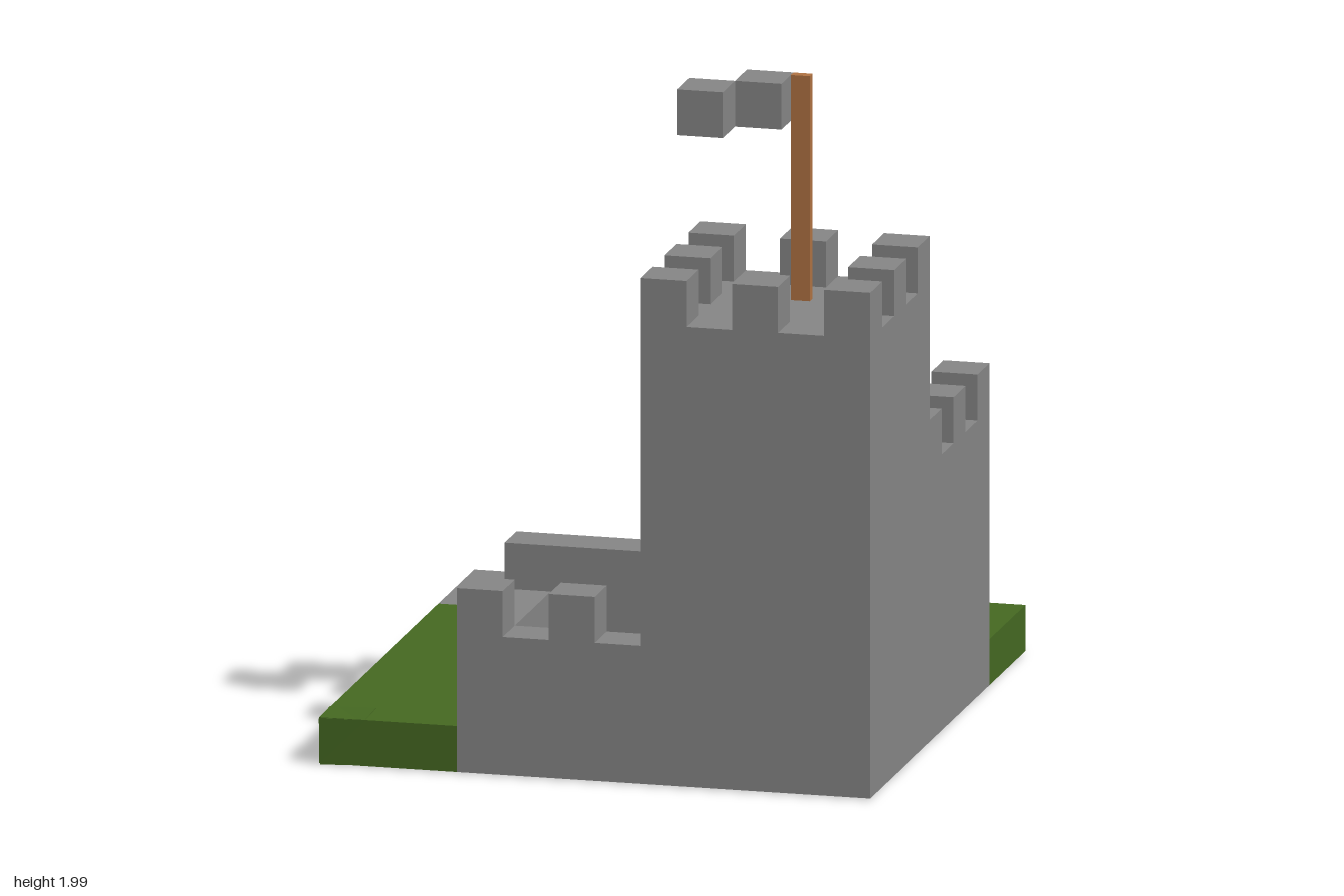
import * as THREE from 'three';

const U = 0.1336; // block size
const X = i => -0.8015 + i * U;
const Y = k => 0.01 + k * U;
const Z = j => -0.87 + j * U;

export function createModel() {
  const model = new THREE.Group();
  model.name = 'castle';
  const mat = (name, color) => Object.assign(new THREE.MeshStandardMaterial({ color }), { name });
  const stone = mat('stone', 0x888888);
  const grass = mat('grass', 0x466a22);
  const wood = mat('wood', 0xb27444);
  const dark = mat('darkFloor', 0x2d2d2d);

  const box = (parent, name, material, x0, x1, y0, y1, z0, z1) => {
    const m = new THREE.Mesh(new THREE.BoxGeometry(x1 - x0, y1 - y0, z1 - z0), material);
    m.position.set((x0 + x1) / 2, (y0 + y1) / 2, (z0 + z1) / 2);
    m.name = name;
    parent.add(m);
    return m;
  };
  // box given in block coordinates
  const blocks = (parent, name, material, i0, i1, k0, k1, j0, j1) =>
    box(parent, name, material, X(i0), X(i1), Y(k0), Y(k1), Z(j0), Z(j1));
  const group = name => {
    const g = new THREE.Group();
    g.name = name;
    model.add(g);
    return g;
  };
  const merlons = (parent, k, cells) => {
    for (const [i, j] of cells) blocks(parent, 'merlon', stone, i, i + 1, k, k + 1, j, j + 1);
  };

  // Ground: stone spans per row (path and castle foundation), grass elsewhere
  const ground = group('ground');
  const rows = [[0, 2], [0, 4], [0, 5], [1, 6, 7, 12], [2, 12], [3, 12], [4, 12], [5, 12]];
  for (let j = 8; j < 13; j++) rows.push([3, 12]);
  rows.forEach((cuts, j) => {
    const edges = [0, ...cuts, 12];
    for (let n = 0; n < edges.length - 1; n++) {
      if (edges[n] === edges[n + 1]) continue;
      const paved = n % 2 === 1;
      blocks(ground, paved ? 'paving' : 'lawn', paved ? stone : grass, edges[n], edges[n + 1], 0, 1, j, j + 1);
    }
  });
  // slightly crooked turf block at the corner
  const turf = blocks(ground, 'turfBlock', grass, 0, 1, 0, 1, 12, 13);
  turf.rotation.set(0.02, 0.02, 0.03);

  // Tall tower
  const keep = group('tallTower');
  blocks(keep, 'tallTowerBody', stone, 7, 12, 1, 10, 8, 13);
  const ring = [];
  for (const a of [0, 2, 4]) for (const b of [0, 2, 4]) if (a !== 2 || b !== 2) ring.push([7 + a, b]);
  merlons(keep, 10, ring.map(([i, b]) => [i, 8 + b]));

  // Low tower, open towards the path with stairs inside
  const low = group('lowTower');
  blocks(low, 'lowTowerBackWall', stone, 7, 12, 1, 6, 3, 4);
  blocks(low, 'lowTowerRoof', stone, 7, 12, 5, 6, 4, 8);
  blocks(low, 'lowTowerCore', stone, 10, 12, 1, 5, 4, 8);
  for (let n = 0; n < 3; n++) blocks(low, 'stair', stone, 7 + n, 8 + n, 1, 2 + n, 4, 8);
  merlons(low, 6, ring.filter(([i, b]) => !(i === 9 && b === 4)).map(([i, b]) => [i, 3 + b]));

  // Courtyard
  const yard = group('courtyard');
  blocks(yard, 'courtyardBackWall', stone, 3, 7, 1, 4, 8, 9);
  blocks(yard, 'courtyardSideWall', stone, 3, 4, 1, 3, 9, 13);
  blocks(yard, 'courtyardFrontWall', stone, 4, 7, 1, 3, 12, 13);
  blocks(yard, 'courtyardFloor', dark, 4, 7, 1, 2, 9, 12);
  merlons(yard, 3, [[3, 12], [5, 12]]);

  // Doors as thin plates
  box(model, 'roofDoor', wood, X(9), X(10), Y(6), Y(8), Z(8) - 0.004, Z(8) + 0.004);
  box(model, 'courtyardDoor', wood, X(7) - 0.004, X(7) + 0.004, Y(2), Y(4), Z(10), Z(11));

  // Flag
  const flag = group('flag');
  box(flag, 'flagpole', wood, 0.475, 0.53, Y(10), 2, 0.466, 0.496);
  box(flag, 'flagInner', stone, 0.34, 0.475, 1.867, 2, 0.466, 0.6);
  box(flag, 'flagOuter', stone, 0.206, 0.34, 1.867, 2, 0.6, 0.735);

  return model;
}
